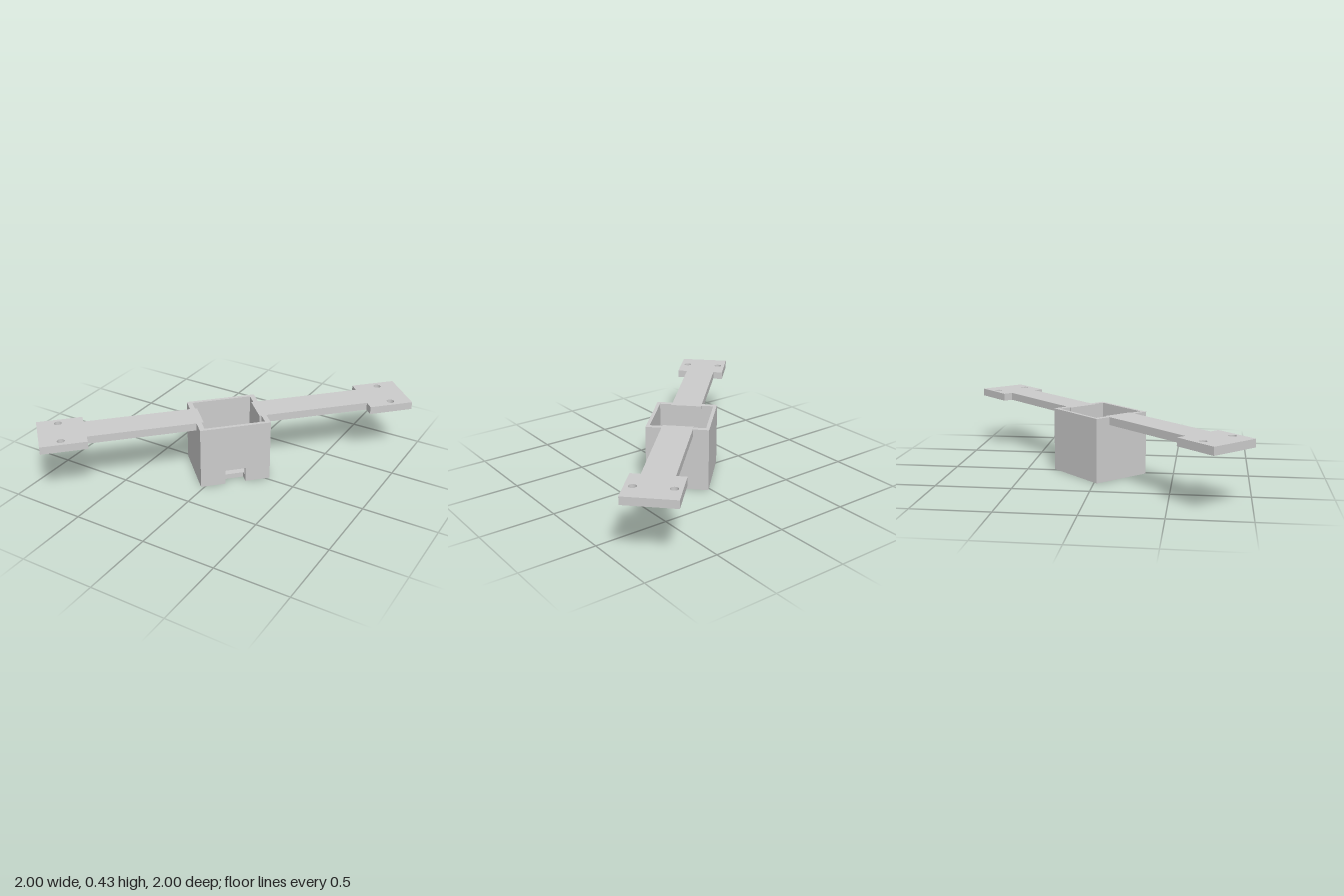
import * as THREE from 'three';

const U = 0.236, V = 0.2075;         // outer half sizes of the box (along and across the arms)
const IU = 0.202, IV = 0.184;        // inner half sizes
const SLOT = 0.068, SLOT_IN = 0.151; // cable slot half width and inner edge
const TOP = 0.425, ARM_Y = 0.373, FLOOR = 0.035, SLOT_TOP = 0.101;
const ARM = 0.102, ARM_IN = 0.188;   // arm half width, inner end
const PLATE_IN = 0.945, PLATE_OUT = 1.246, PLATE = 0.168;

// Corners given in (x, z), turned into a counter-clockwise outline
const pts = (list) => list.map(([x, z]) => new THREE.Vector2(x, -z)).reverse();
const rect = (a, b) => [[-a, -b], [a, -b], [a, b], [-a, b]];

// Horizontal slab cut from an outline in (x, z), between two heights
function slab(name, outline, holes, y0, y1, material) {
  const shape = new THREE.Shape(pts(outline));
  shape.holes = holes;
  const geo = new THREE.ExtrudeGeometry(shape, { depth: y1 - y0, bevelEnabled: false, curveSegments: 16 });
  geo.rotateX(-Math.PI / 2);
  geo.translate(0, y0, 0);
  const mesh = new THREE.Mesh(geo, material);
  mesh.name = name;
  return mesh;
}

export function createModel() {
  const grey = new THREE.MeshStandardMaterial({ color: 0xcccccc });
  grey.name = 'plain grey';
  const body = new THREE.Group();
  body.name = 'mountingBracket';

  // Floor with the slot cut through to the front edge
  body.add(slab('boxFloor', [
    [-U, -V], [U, -V], [U, V], [SLOT, V], [SLOT, SLOT_IN], [-SLOT, SLOT_IN], [-SLOT, V], [-U, V],
  ], [], 0, FLOOR, grey));

  // Walls at slot height, open at the front
  body.add(slab('lowerWalls', [
    [-U, -V], [U, -V], [U, V], [SLOT, V], [SLOT, IV], [IU, IV], [IU, -IV],
    [-IU, -IV], [-IU, IV], [-SLOT, IV], [-SLOT, V], [-U, V],
  ], [], FLOOR, SLOT_TOP, grey));

  // Closed walls above the slot
  body.add(slab('upperWalls', rect(U, V), [new THREE.Path(pts(rect(IU, IV)))], SLOT_TOP, ARM_Y, grey));

  // Rim, arms and end plates in one flat piece; the arms reach slightly into the box
  const half = [
    [U, -V], [U, -ARM], [PLATE_IN, -ARM], [PLATE_IN, -PLATE], [PLATE_OUT, -PLATE],
    [PLATE_OUT, PLATE], [PLATE_IN, PLATE], [PLATE_IN, ARM], [U, ARM], [U, V],
  ];
  const opening = [
    [IU, -IV], [IU, -ARM], [ARM_IN, -ARM], [ARM_IN, ARM], [IU, ARM], [IU, IV],
  ];
  const turned = (list) => [...list, ...list.map(([x, z]) => [-x, -z])];
  const holes = [new THREE.Path(pts(turned(opening)))];
  for (const sx of [-1, 1]) for (const sz of [-1, 1]) {
    holes.push(new THREE.Path().absarc(sx * 1.109, sz * 0.118, 0.025, 0, Math.PI * 2, false));
  }
  body.add(slab('rimAndArms', turned(half), holes, ARM_Y, TOP, grey));

  // The arms run diagonally
  body.rotation.y = Math.PI / 4;
  const model = new THREE.Group();
  model.name = 'model';
  model.add(body);
  return model;
}
